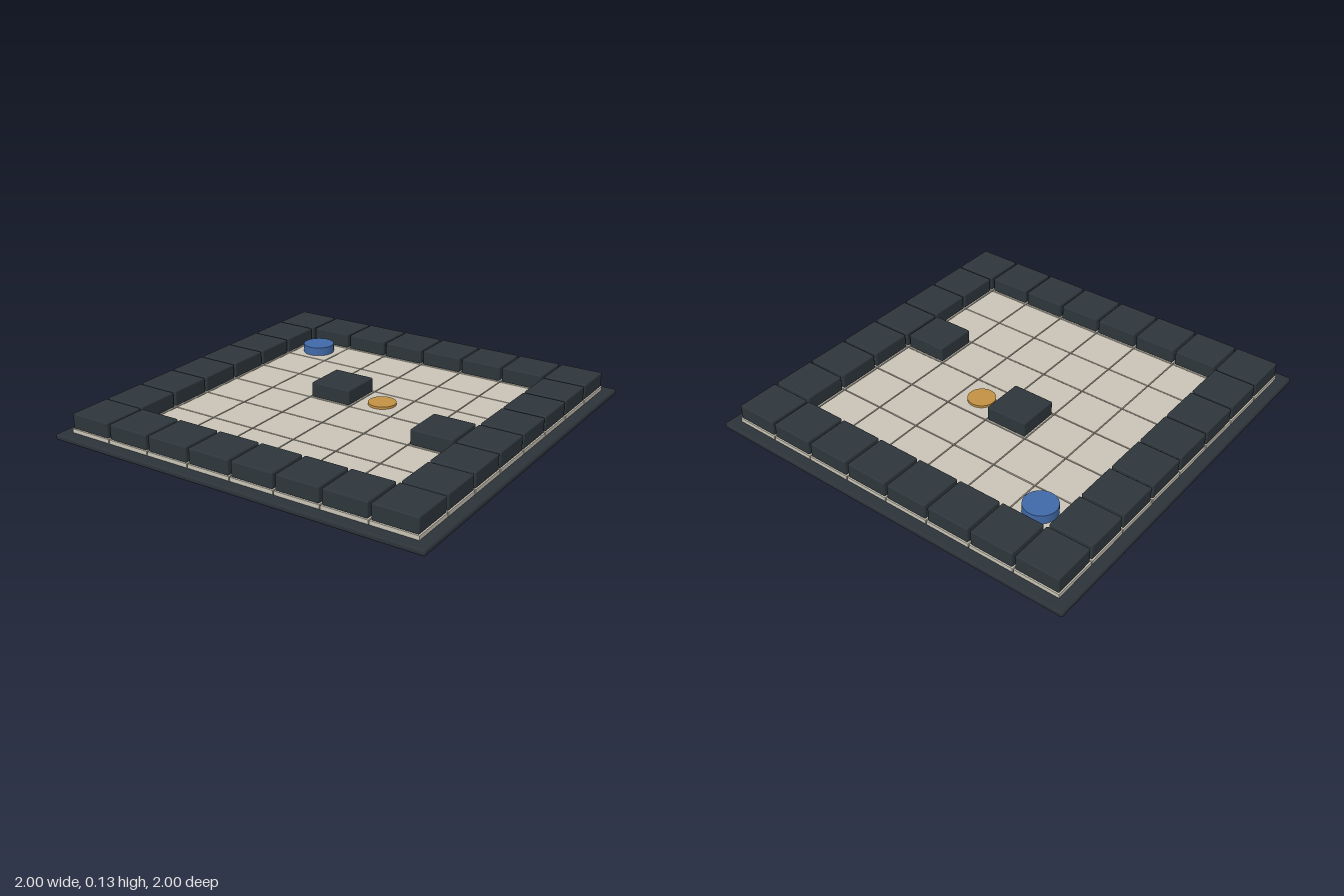
import * as THREE from 'three';
import { RoundedBoxGeometry } from 'three/addons/geometries/RoundedBoxGeometry.js';

const material = (name, color) => {
  const m = new THREE.MeshStandardMaterial({ color });
  m.name = name;
  return m;
};

export function createModel() {
  const board = new THREE.Group();
  board.name = 'gridBoard';

  const baseMat = material('dark base', 0x2b3339);
  const wallMat = material('slate wall', 0x2d363b);
  const tileMat = material('pale stone', 0xc9c3b5);
  const blueMat = material('blue', 0x4069a8);
  const goldMat = material('gold', 0xc29144);

  const CELLS = 8, PITCH = 0.236;
  const BASE_TOP = 0.03, TILE_TOP = 0.05, WALL_TOP = 0.128;
  const cell = (i) => (i - (CELLS - 1) / 2) * PITCH;

  const add = (name, geometry, mat, x, y, z) => {
    const mesh = new THREE.Mesh(geometry, mat);
    mesh.name = name;
    mesh.position.set(x, y, z);
    board.add(mesh);
  };

  // Base slab with softened edges
  add('base', new RoundedBoxGeometry(2, BASE_TOP, 2, 3, 0.012), baseMat, 0, BASE_TOP / 2, 0);

  // Floor tiles everywhere; wall blocks on the rim and on two inner cells
  const tileGeo = new THREE.BoxGeometry(0.23, TILE_TOP - BASE_TOP, 0.23);
  const wallGeo = new RoundedBoxGeometry(0.222, WALL_TOP - TILE_TOP, 0.222, 2, 0.007);
  const innerWalls = ['3,3', '6,4'];
  for (let col = 0; col < CELLS; col++) {
    for (let row = 0; row < CELLS; row++) {
      add('floorTile', tileGeo, tileMat, cell(col), (BASE_TOP + TILE_TOP) / 2, cell(row));
      const rim = [0, CELLS - 1].includes(col) || [0, CELLS - 1].includes(row);
      if (rim || innerWalls.includes(`${col},${row}`)) {
        add('wallBlock', wallGeo, wallMat, cell(col), (TILE_TOP + WALL_TOP) / 2, cell(row));
      }
    }
  }

  // Playing discs
  const disc = (name, radius, height, mat, col, row) =>
    add(name, new THREE.CylinderGeometry(radius, radius, height, 32), mat,
      cell(col), TILE_TOP + height / 2, cell(row));
  disc('blueDisc', 0.083, 0.045, blueMat, 1, 1);
  disc('goldDisc', 0.071, 0.012, goldMat, 4, 3);

  return board;
}
